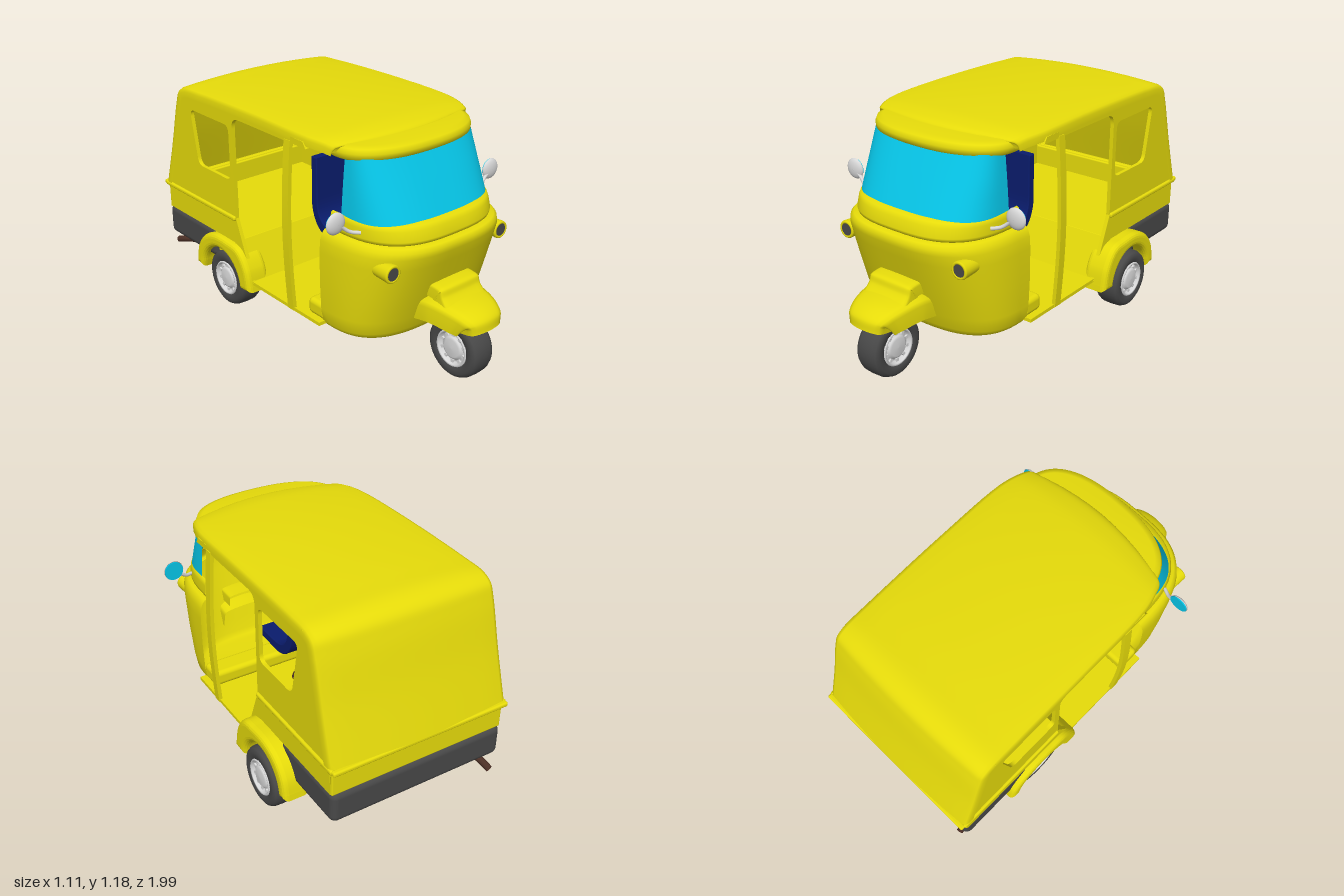
import * as THREE from 'three';
import { RoundedBoxGeometry } from 'three/addons/geometries/RoundedBoxGeometry.js';

const mat = (name, color) => {
  const m = new THREE.MeshStandardMaterial({ color, side: THREE.DoubleSide });
  m.name = name;
  return m;
};

export function createModel() {
  const yellow = mat('yellow paint', 0xe6db0a), glass = mat('cyan glass', 0x06c6e8);
  const dark = mat('dark rubber', 0x484848), silver = mat('light grey metal', 0xd8d8d8);
  const brown = mat('brown metal', 0x4c3026), navy = mat('navy seat', 0x0a1c6c);
  const root = new THREE.Group();
  root.name = 'threeWheeler';
  const body = new THREE.Group();
  body.name = 'body';
  body.position.x = -0.01;
  root.add(body);

  const add = (parent, name, geo, m, x = 0, y = 0, z = 0) => {
    const mesh = new THREE.Mesh(geo, m);
    mesh.name = name;
    mesh.position.set(x, y, z);
    parent.add(mesh);
    return mesh;
  };
  const rbox = (w, h, d, r) => new RoundedBoxGeometry(w, h, d, 3, r);
  const tube = (pts, r, n = 40) => new THREE.TubeGeometry(
    new THREE.CatmullRomCurve3(pts.map(p => new THREE.Vector3(...p))), n, r, 10);

  // Skin a list of equally long cross-sections
  const skin = rings => {
    const n = rings[0].length, idx = [];
    for (let i = 0; i < rings.length - 1; i++)
      for (let j = 0; j < n - 1; j++) {
        const a = i * n + j, b = a + n;
        idx.push(a, a + 1, b, b, a + 1, b + 1);
      }
    const g = new THREE.BufferGeometry();
    g.setAttribute('position', new THREE.Float32BufferAttribute(rings.flat(2), 3));
    g.setIndex(idx);
    g.computeVertexNormals();
    return g;
  };

  // U-shaped shell in plan: levels are [y, half width, front z], open at z = back
  const shell = (levels, back, n) => skin(levels.map(([y, w, f]) => {
    const ring = [];
    for (let i = 0; i <= 40; i++) {
      const a = Math.PI * i / 40, c = Math.cos(a), s = Math.max(0, Math.sin(a));
      ring.push([-w * Math.sign(c) * Math.abs(c) ** (2 / n), y, back + (f - back) * s ** (2 / n)]);
    }
    return ring;
  }));

  // Curved sheet with rolled edges, swept front to back: path is [z, y, half width]
  const sheet = (path, lip, round, crown, bow = 0) => {
    const N = 60;
    const pts = new THREE.CatmullRomCurve3(path.map(([z, y, w]) => new THREE.Vector3(w, y, z))).getPoints(N);
    const us = [-1, -0.8, -0.6, -0.4, -0.2, 0, 0.2, 0.4, 0.6, 0.8, 1];
    return skin(pts.map((p, i) => {
      const a = pts[Math.max(0, i - 1)], b = pts[Math.min(N, i + 1)];
      const l = Math.hypot(b.z - a.z, b.y - a.y), nz = (b.y - a.y) / l, ny = (a.z - b.z) / l;
      const edge = s => [[p.x, lip], [p.x, round + crown], [p.x - 0.3 * round, 0.3 * round + crown]]
        .map(([x, d]) => [s * x, d]);
      const prof = [...edge(-1), ...us.map(u => [u * (p.x - round), crown * u * u]), ...edge(1).reverse()];
      return prof.map(([x, d]) => [x, p.y - ny * d,
        p.z - nz * d - bow * (x / p.x) ** 2 * Math.max(0, 1 - i / 18)]);
    }));
  };

  // Side-profile plate drawn in (z, y), extruded across x
  const plate = (shape, depth, bevel = 0) => new THREE.ExtrudeGeometry(shape, {
    depth, bevelEnabled: bevel > 0, bevelSize: bevel, bevelThickness: bevel, bevelSegments: 4, curveSegments: 20,
  }).translate(0, 0, -depth / 2).rotateY(-Math.PI / 2);
  const poly = (pts, r) => {
    const s = new THREE.Shape(), v = pts.map(p => new THREE.Vector2(...p)), n = v.length;
    v.forEach((p, i) => {
      const a = p.clone().add(v[(i + n - 1) % n].clone().sub(p).setLength(r));
      const b = p.clone().add(v[(i + 1) % n].clone().sub(p).setLength(r));
      i ? s.lineTo(a.x, a.y) : s.moveTo(a.x, a.y);
      s.quadraticCurveTo(p.x, p.y, b.x, b.y);
    });
    s.closePath();
    return s;
  };

  // Cab: nose, dash band, windscreen, brow
  add(body, 'nose', shell([[0.19, 0.01, 0.35], [0.19, 0.37, 0.62], [0.2, 0.41, 0.645], [0.23, 0.435, 0.66],
    [0.3, 0.444, 0.685], [0.45, 0.45, 0.735], [0.6, 0.45, 0.785], [0.66, 0.446, 0.805], [0.69, 0.435, 0.808],
    [0.707, 0.42, 0.795], [0.713, 0.39, 0.76]], 0.335, 2.9), yellow);
  add(body, 'dashBand', shell([[0.71, 0.39, 0.75], [0.713, 0.402, 0.768], [0.73, 0.405, 0.772], [0.775, 0.403, 0.757],
    [0.795, 0.4, 0.745], [0.802, 0.388, 0.72]], 0.36, 2.9), yellow);
  add(body, 'windscreen', shell([[0.795, 0.39, 0.72], [0.89, 0.384, 0.675], [0.98, 0.377, 0.63],
    [1.08, 0.368, 0.58]], 0.42, 3), glass);
  add(body, 'brow', shell([[1.065, 0.34, 0.5], [1.062, 0.38, 0.585], [1.075, 0.4, 0.607], [1.1, 0.402, 0.61],
    [1.122, 0.395, 0.6], [1.133, 0.37, 0.57], [1.136, 0.1, 0.45]], 0.36, 2.4), yellow);

  // Roof flowing down into the back wall
  add(body, 'roofAndBack', sheet([[0.49, 1.1, 0.41], [0.475, 1.14, 0.42], [0.4, 1.163, 0.44], [0.25, 1.175, 0.467],
    [-0.1, 1.183, 0.474], [-0.6, 1.175, 0.474], [-0.75, 1.163, 0.474], [-0.815, 1.125, 0.474], [-0.847, 1.05, 0.475],
    [-0.91, 0.82, 0.478], [-0.99, 0.555, 0.482]], 0.075, 0.025, 0.02, 0.07), yellow);

  // Side panels with window and door frame, pillars, belt trim
  const side = new THREE.Shape();
  [[-0.18, 0.22], [-0.31, 0.55], [-0.31, 1.03]].forEach(([z, y], i) => i ? side.lineTo(z, y) : side.moveTo(z, y));
  side.quadraticCurveTo(-0.31, 1.09, -0.25, 1.09);
  [[0.27, 1.09], [0.25, 1.12], [-0.72, 1.13], [-0.78, 1.1], [-0.81, 1.03], [-0.94, 0.56], [-0.95, 0.41],
    [-0.33, 0.41], [-0.22, 0.22]].forEach(p => side.lineTo(...p));
  side.holes.push(poly([[-0.34, 0.75], [-0.63, 0.75], [-0.685, 1.04], [-0.34, 1.04]], 0.04));
  for (const s of [-1, 1]) {
    add(body, 'sidePanel', plate(side, 0.02), yellow, s * 0.462);
    const pillar = new THREE.BoxGeometry(0.02, 0.88, 0.045, 1, 12, 1);
    const pos = pillar.attributes.position;
    for (let i = 0; i < pos.count; i++)
      pos.setX(i, pos.getX(i) + s * 0.022 * Math.cos(pos.getY(i) / 0.88 * Math.PI));
    pillar.computeVertexNormals();
    add(body, 'doorPillar', pillar, yellow, s * 0.465, 0.66, 0.138);
    add(body, 'beltTrim', rbox(0.022, 0.025, 0.66, 0.01), yellow, s * 0.474, 0.548, -0.64);

    // Headlight
    const lamp = add(body, 'headlight', new THREE.CylinderGeometry(0.045, 0.04, 0.1, 28).rotateX(Math.PI / 2),
      yellow, s * 0.355, 0.605, 0.675);
    add(lamp, 'headlightRim', new THREE.TorusGeometry(0.037, 0.008, 8, 28), yellow, 0, 0, 0.05);
    add(lamp, 'headlightLens', new THREE.CylinderGeometry(0.031, 0.031, 0.008, 28).rotateX(Math.PI / 2), dark, 0, 0, 0.052);

    // Mirror on a bent arm
    add(body, 'mirrorArm', tube([[s * 0.39, 0.755, 0.55], [s * 0.43, 0.765, 0.53], [s * 0.465, 0.79, 0.52],
      [s * 0.503, 0.82, 0.525]], 0.009), silver);
    add(body, 'mirrorShell', new THREE.SphereGeometry(0.053, 28, 8, 0, Math.PI * 2, 0, Math.PI / 2)
      .scale(1, 0.4, 1).rotateX(Math.PI / 2), silver, s * 0.503, 0.82, 0.512);
    add(body, 'mirrorGlass', new THREE.CylinderGeometry(0.05, 0.05, 0.006, 28).rotateX(Math.PI / 2), glass, s * 0.503, 0.82, 0.51);

    // Handlebar half with grip
    add(body, 'handlebar', tube([[0, 0.8, 0.45], [s * 0.07, 0.825, 0.42], [s * 0.12, 0.825, 0.36], [s * 0.14, 0.82, 0.3]], 0.01), silver);
    add(body, 'handleGrip', tube([[s * 0.14, 0.82, 0.31], [s * 0.155, 0.816, 0.24]], 0.014, 4), dark);
  }
  add(body, 'rearBeltTrim', rbox(0.96, 0.025, 0.03, 0.01), yellow, 0, 0.548, -0.975);
  add(body, 'rearLowerPanel', rbox(0.94, 0.15, 0.02, 0.008), yellow, 0, 0.48, -0.95);

  // Floors, front step and rear bumper block
  add(body, 'floor', new THREE.BoxGeometry(0.94, 0.018, 0.54), yellow, 0, 0.226, 0.08);
  add(body, 'frontStep', rbox(0.88, 0.085, 0.13, 0.025), yellow, 0, 0.272, 0.29);
  add(body, 'rearFloor', plate(poly([[-0.18, 0.22], [-0.28, 0.44], [-0.945, 0.44], [-0.945, 0.4],
    [-0.55, 0.39], [-0.5, 0.25], [-0.2, 0.215]], 0.002), 0.9), yellow);
  add(body, 'rearBumper', rbox(0.945, 0.17, 0.46, 0.035), dark, 0, 0.33, -0.742);

  // Driver seat on a pedestal
  const seat = new THREE.Shape();
  seat.moveTo(0.24, 0.475);
  seat.lineTo(0.24, 0.505);
  seat.lineTo(0.07, 0.505);
  seat.bezierCurveTo(-0.02, 0.52, -0.05, 0.56, -0.05, 0.66);
  seat.lineTo(-0.05, 0.87);
  seat.lineTo(-0.08, 0.87);
  seat.lineTo(-0.082, 0.62);
  seat.bezierCurveTo(-0.07, 0.52, -0.02, 0.47, 0.07, 0.465);
  seat.closePath();
  add(body, 'driverSeat', plate(seat, 0.3, 0.006), navy);
  add(body, 'seatPedestal', new THREE.LatheGeometry([[0.055, 0.235], [0.05, 0.25], [0.028, 0.265], [0.025, 0.44],
    [0.04, 0.47]].map(p => new THREE.Vector2(...p)), 20), brown, 0, 0, 0.07);

  // Front mudguard in two stepped pieces
  add(body, 'frontMudguard', sheet([[1, 0.305, 0.1], [0.99, 0.355, 0.11], [0.94, 0.39, 0.13], [0.86, 0.412, 0.15],
    [0.76, 0.42, 0.163], [0.64, 0.4, 0.163]], 0.115, 0.03, 0.01), yellow);
  add(body, 'mudguardCowl', sheet([[0.86, 0.4, 0.135], [0.825, 0.44, 0.13], [0.81, 0.475, 0.13], [0.77, 0.486, 0.13],
    [0.64, 0.486, 0.13]], 0.07, 0.015, 0.005), yellow);

  // Rear mudguards
  const guard = new THREE.Shape();
  guard.moveTo(-0.21, 0.2);
  guard.splineThru([[-0.23, 0.29], [-0.285, 0.365], [-0.37, 0.38], [-0.48, 0.38], [-0.57, 0.345], [-0.625, 0.28],
    [-0.645, 0.2]].map(p => new THREE.Vector2(...p)));
  guard.lineTo(-0.633, 0.2);
  guard.absarc(-0.44, 0.17, 0.193, Math.PI - 0.15, 0.15, true);
  guard.closePath();
  for (const x of [-0.445, 0.465]) add(root, 'rearMudguard', plate(guard, 0.08, 0.028), yellow, x);

  // Wheels: dark and hollow on the inner side, pressed rim on the outer side
  const lathe = pts => new THREE.LatheGeometry(pts.map(p => new THREE.Vector2(...p)), 40).rotateZ(Math.PI / 2);
  const tyre = lathe([[0, -0.005], [0.088, -0.01], [0.088, -0.055], [0.105, -0.066], [0.13, -0.067], [0.146, -0.058],
    [0.154, -0.04], [0.156, 0], [0.154, 0.04], [0.146, 0.058], [0.13, 0.067], [0.105, 0.066], [0.088, 0.055]]);
  const rim = lathe([[0.094, 0.062], [0.09, 0.068], [0.083, 0.066], [0.075, 0.046], [0.062, 0.046], [0.056, 0.058],
    [0.045, 0.064], [0, 0.066]]);
  for (const [name, x, z, turns] of [['frontWheel', -0.012, 0.83, [0, Math.PI]], ['rearRightWheel', -0.413, -0.44, [0]],
    ['rearLeftWheel', 0.47, -0.44, [Math.PI]]]) {
    const wheel = new THREE.Group();
    wheel.name = name;
    wheel.position.set(x, 0.156, z);
    root.add(wheel);
    add(wheel, 'tyre', tyre, dark).rotation.y = turns[0];
    for (const turn of turns) {
      const face = add(wheel, 'rim', rim, silver);
      face.rotation.y = turn;
      for (let i = 0; i < 10; i++) {
        const a = i * Math.PI / 5;
        add(face, 'rimRib', new THREE.BoxGeometry(0.015, 0.016, 0.016), silver, -0.048, 0.07 * Math.cos(a), 0.07 * Math.sin(a))
          .rotation.x = a;
      }
    }
  }

  // Rear axle with differential, front fork, exhaust
  add(root, 'rearAxle', lathe([[0.02, -0.45], [0.022, -0.15], [0.035, -0.08], [0.062, -0.03], [0.062, 0.03],
    [0.035, 0.08], [0.022, 0.15], [0.02, 0.42]]), brown, 0.03, 0.155, -0.44);
  add(root, 'frontForkStem', new THREE.CylinderGeometry(0.025, 0.025, 0.12, 12), dark, -0.012, 0.36, 0.8);
  add(root, 'exhaustPipe', tube([[0, 0.2, 0.27], [-0.04, 0.195, 0.15], [-0.08, 0.18, 0.02], [-0.1, 0.18, -0.1],
    [-0.14, 0.205, -0.2], [-0.25, 0.215, -0.45], [-0.34, 0.205, -0.62], [-0.38, 0.205, -0.72], [-0.4, 0.21, -0.85],
    [-0.42, 0.195, -0.92], [-0.43, 0.175, -0.98]], 0.018, 70), brown);
  return root;
}
